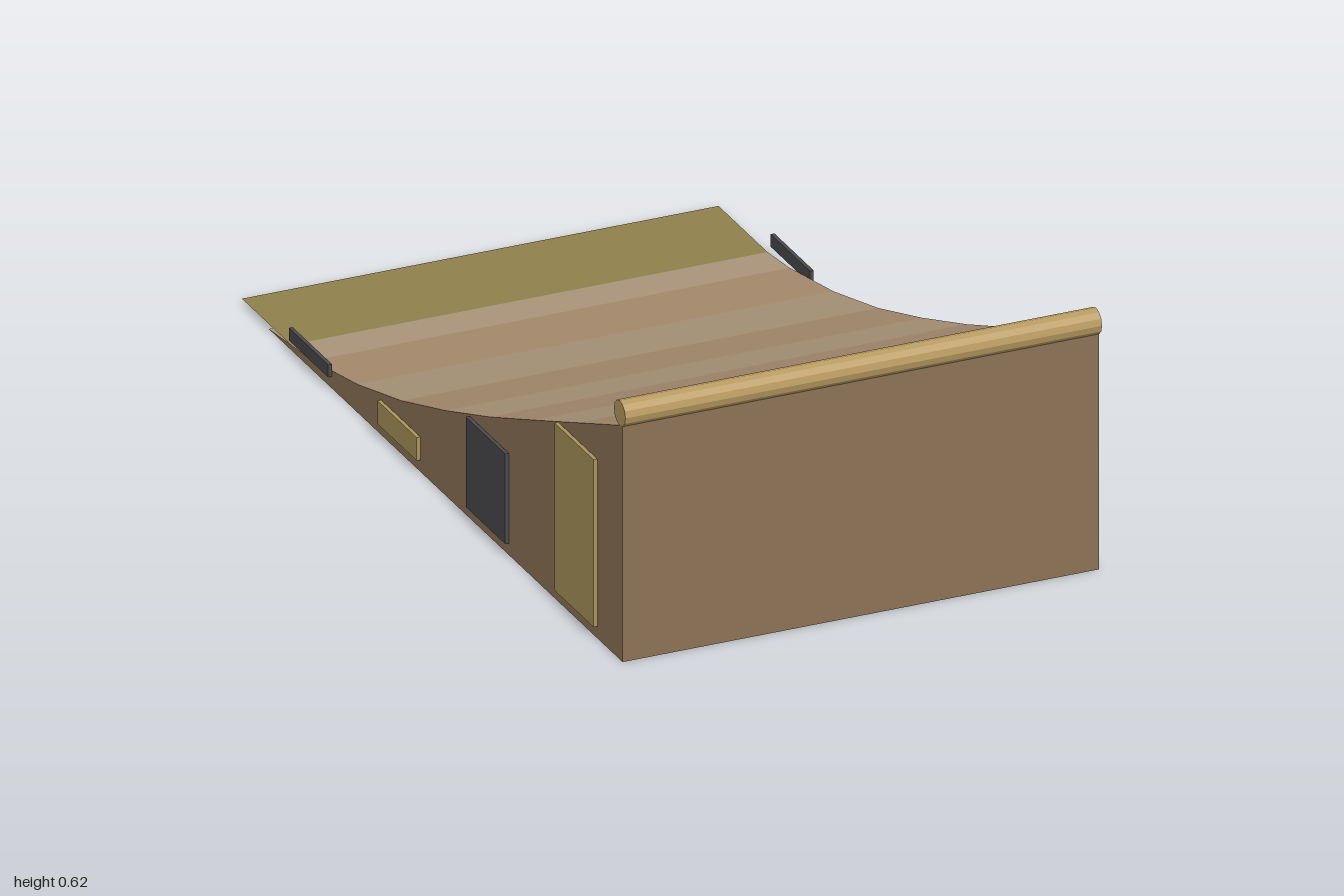
import * as THREE from 'three';

const HALF = 0.565;                 // half width of the ramp
const FRONT = 0.985, TOE = -0.86;   // tall end and thin end along z
// Heights of the curved surface at evenly spaced steps, tall end first
const HEIGHTS = [0.565, 0.472, 0.379, 0.287, 0.203, 0.127, 0.067, 0.024, 0];
const STEPS = HEIGHTS.length - 1;
const zAt = (i) => FRONT + (TOE - FRONT) * i / STEPS;

const mat = (color, open = false) => new THREE.MeshStandardMaterial({
  color, flatShading: true, side: open ? THREE.DoubleSide : THREE.FrontSide,
});

export function createModel() {
  const group = new THREE.Group();
  const add = (name, geometry, material, x = 0, y = 0, z = 0) => {
    const mesh = new THREE.Mesh(geometry, material);
    mesh.name = name;
    mesh.position.set(x, y, z);
    group.add(mesh);
    return mesh;
  };

  const wall = mat(0x8b7355, true);
  const planks = [mat(0xa98d70, true), mat(0xab977a, true)];
  const ochre = mat(0xa8935a);
  const dark = mat(0x4a4a4c);

  // Curved riding surface: one flat plank per step, in alternating tones
  for (let i = 0; i < STEPS; i++) {
    const dz = zAt(i) - zAt(i + 1), dy = HEIGHTS[i] - HEIGHTS[i + 1];
    const plank = add('rampPlank', new THREE.PlaneGeometry(2 * HALF, Math.hypot(dz, dy)), planks[i % 2],
      0, (HEIGHTS[i] + HEIGHTS[i + 1]) / 2, (zAt(i) + zAt(i + 1)) / 2);
    plank.rotation.x = -Math.PI / 2 - Math.atan2(dy, dz);
  }

  // Side walls follow the curve; the body is hollow and open below
  const profile = new THREE.Shape([
    new THREE.Vector2(FRONT, 0),
    ...HEIGHTS.map((h, i) => new THREE.Vector2(zAt(i), h)),
  ]);
  const side = new THREE.ShapeGeometry(profile).rotateY(-Math.PI / 2);
  add('leftWall', side, wall, HALF);
  add('rightWall', side, wall, -HALF);

  // Tall end wall
  add('frontWall', new THREE.PlaneGeometry(2 * HALF, HEIGHTS[0]), wall, 0, HEIGHTS[0] / 2, FRONT);

  // Thin entry plate at the low end
  add('entryPlate', new THREE.PlaneGeometry(2 * HALF, 0.28).rotateX(-Math.PI / 2),
    mat(0x8f7f4c, true), 0, 0.012, -0.86);

  // Pipe along the top edge
  add('copingPipe', new THREE.CylinderGeometry(0.03, 0.03, 2 * HALF, 12).rotateZ(Math.PI / 2),
    mat(0xb89a60), 0, 0.588, 0.97);

  // Patch panels on both sides, every second step
  [0.43, 0.245, 0.085, 0.06].forEach((top, k) => {
    const height = top - 0.03;
    const panel = new THREE.BoxGeometry(0.009, height, 0.205);
    for (const s of [-1, 1]) {
      add('sidePanel', panel, k % 2 ? dark : ochre, s * 0.571, 0.03 + height / 2, zAt(2 * k + 1));
    }
  });

  return group;
}
